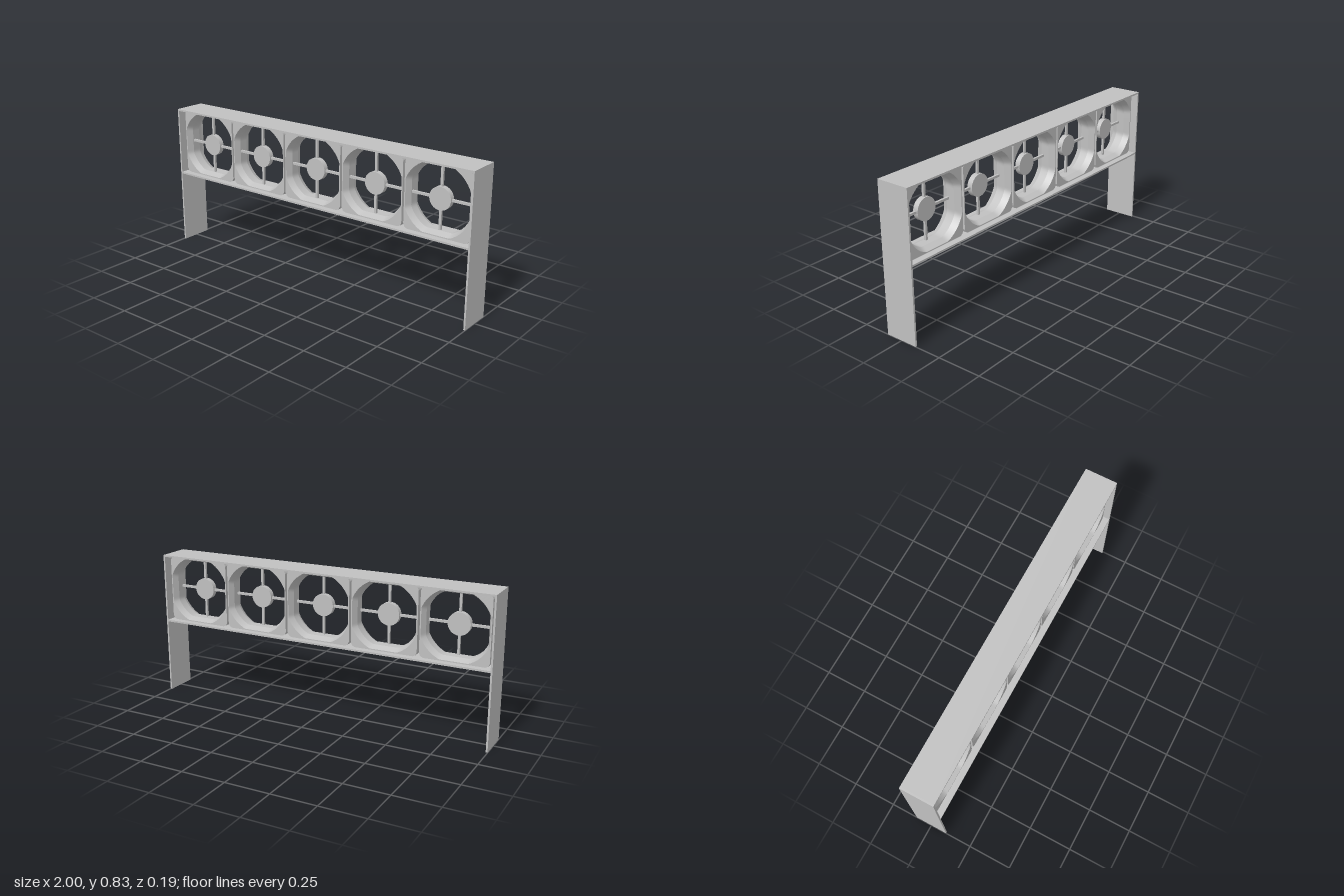
import * as THREE from 'three';
import { toCreasedNormals } from 'three/addons/utils/BufferGeometryUtils.js';

const grey = new THREE.MeshStandardMaterial({ color: 0xc0c0c0 });
grey.name = 'grey';

const FAN_Y = 0.63, FAN_PITCH = 0.392, DEPTH = 0.19, PANEL = 0.01, TOP = 0.83;

function add(parent, name, geometry, x = 0, y = 0, z = 0) {
  const mesh = new THREE.Mesh(geometry, grey);
  mesh.name = name;
  mesh.position.set(x, y, z);
  parent.add(mesh);
  return mesh;
}

// Fan housing: closed loft of circles clipped to squares, flared at both ends
function housingGeometry() {
  const sections = [ // radius, half width of clipping square, z
    [0.258, 0.19, 0.06],
    [0.2, 0.184, 0.06],
    [0.184, 0.168, 0.025],
    [0.184, 0.168, -0.025],
    [0.2, 0.184, -0.06],
    [0.258, 0.19, -0.06],
  ];
  const n = 96, positions = [], index = [];
  for (const [radius, half, z] of sections) {
    for (let i = 0; i < n; i++) {
      const a = (i / n) * Math.PI * 2, c = Math.cos(a), s = Math.sin(a);
      const r = Math.min(radius, half / Math.max(Math.abs(c), Math.abs(s)));
      positions.push(r * c, r * s, z);
    }
  }
  for (let k = 0; k < sections.length; k++) {
    const next = (k + 1) % sections.length;
    for (let i = 0; i < n; i++) {
      const j = (i + 1) % n;
      const a = k * n + i, b = k * n + j, c = next * n + j, d = next * n + i;
      index.push(a, b, c, a, c, d);
    }
  }
  const geometry = new THREE.BufferGeometry();
  geometry.setAttribute('position', new THREE.Float32BufferAttribute(positions, 3));
  geometry.setIndex(index);
  return toCreasedNormals(geometry, 0.4);
}

export function createModel() {
  const model = new THREE.Group();
  model.name = 'fanRack';

  // Frame: two full-height sides, a top and a shelf under the fans
  for (const side of [-1, 1]) {
    add(model, side > 0 ? 'leftSide' : 'rightSide',
      new THREE.BoxGeometry(PANEL, TOP, DEPTH), side * (1 - PANEL / 2), TOP / 2);
  }
  const board = new THREE.BoxGeometry(2 - 2 * PANEL, PANEL, DEPTH);
  add(model, 'topPanel', board, 0, TOP - PANEL / 2);
  add(model, 'shelf', board, 0, 0.434);

  // Row of five fans, each with a hub held by crossed struts
  const housing = housingGeometry();
  const hub = new THREE.CylinderGeometry(0.062, 0.062, 0.03, 48).rotateX(Math.PI / 2);
  const strut = new THREE.BoxGeometry(0.35, 0.013, 0.013);
  for (let i = -2; i <= 2; i++) {
    const fan = new THREE.Group();
    fan.name = 'fan' + (i + 3);
    fan.position.set(i * FAN_PITCH, FAN_Y, 0);
    add(fan, 'housing', housing);
    add(fan, 'hub', hub, 0, 0, 0.015);
    add(fan, 'horizontalStrut', strut, 0, 0, 0.015);
    add(fan, 'verticalStrut', strut, 0, 0, 0.015).rotation.z = Math.PI / 2;
    model.add(fan);
  }
  return model;
}
